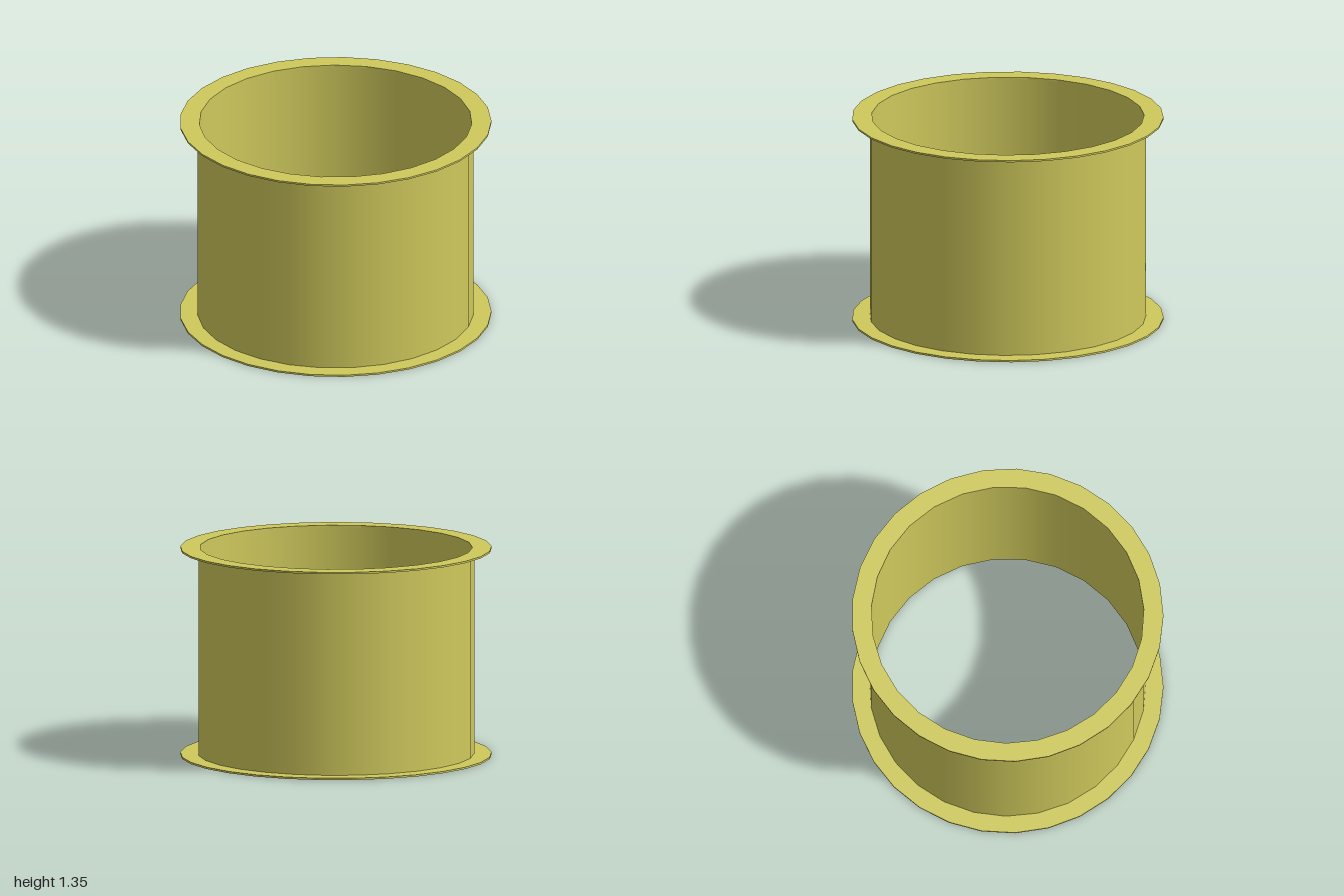
import * as THREE from 'three';

const HEIGHT = 1.35, FLANGE_THICKNESS = 0.012;
const OUTER_SIDES = 29, WALL_SIDES = 27;
const FLANGE_RADIUS = 1, WALL_RADIUS = 0.887, BORE_RADIUS = 0.875;

// Corners of a regular polygon, first corner at angle start
function polygon(radius, sides, start) {
  return Array.from({ length: sides }, (_, i) => {
    const a = start + (i / sides) * Math.PI * 2;
    return new THREE.Vector2(radius * Math.cos(a), radius * Math.sin(a));
  });
}

// Open tube surface; faces outward when y0 < y1 and inward when y0 > y1
function tubeSurface(radius, y0, y1) {
  const profile = [new THREE.Vector2(radius, y0), new THREE.Vector2(radius, y1)];
  return new THREE.LatheGeometry(profile, WALL_SIDES, Math.PI / 2);
}

export function createModel() {
  const model = new THREE.Group();
  model.name = 'flangedSpool';
  const material = new THREE.MeshStandardMaterial({ color: 0xcfc95c });

  function add(name, geometry, y = 0) {
    const mesh = new THREE.Mesh(geometry, material);
    mesh.name = name;
    mesh.position.y = y;
    model.add(mesh);
  }

  // Thin flat rings at both ends
  const ring = new THREE.Shape(polygon(FLANGE_RADIUS, OUTER_SIDES, Math.PI / 2));
  ring.holes.push(new THREE.Path(polygon(BORE_RADIUS, WALL_SIDES, 0)));
  const flange = new THREE.ExtrudeGeometry(ring, { depth: FLANGE_THICKNESS, bevelEnabled: false });
  flange.rotateX(-Math.PI / 2);
  add('bottomFlange', flange);
  add('topFlange', flange, HEIGHT - FLANGE_THICKNESS);

  // Thin barrel wall between the flanges
  add('barrelOutside', tubeSurface(WALL_RADIUS, FLANGE_THICKNESS, HEIGHT - FLANGE_THICKNESS));
  add('barrelInside', tubeSurface(BORE_RADIUS, HEIGHT - FLANGE_THICKNESS, FLANGE_THICKNESS));

  return model;
}
